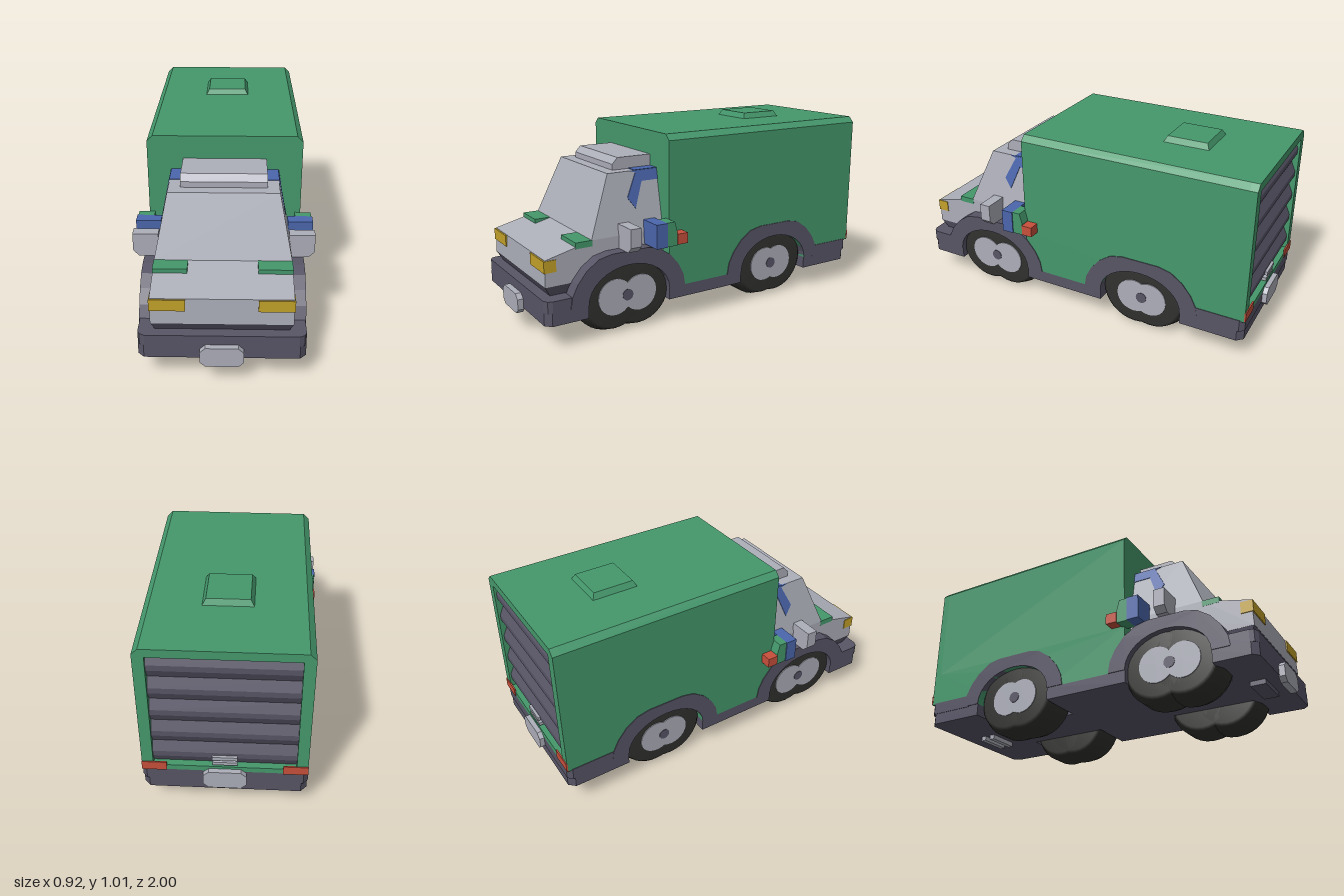
import * as THREE from 'three';

const mat = (name, color) => Object.assign(new THREE.MeshStandardMaterial({ color }), { name });

export function createModel() {
  const root = new THREE.Group();
  root.name = 'deliveryTruck';
  const green = mat('green', 0x45986c), light = mat('lightGrey', 0xacaeb9), dark = mat('darkGrey', 0x585566);
  const black = mat('tyreBlack', 0x31312f), blue = mat('blue', 0x4a66ac), yellow = mat('yellow', 0xc4a22a), red = mat('red', 0xc8503c);

  const add = (name, geo, material) => {
    const m = new THREE.Mesh(geo, material);
    m.name = name;
    root.add(m);
    return m;
  };
  const shape = (pts) => new THREE.Shape(pts.map(([a, b]) => new THREE.Vector2(a, b)));
  const extrude = (s, depth) => new THREE.ExtrudeGeometry(s, { depth, bevelEnabled: false });
  // (z, y) profile across x, (x, y) profile along z, (x, z) plan along y
  const side = (pts, x0, x1) => extrude(shape(pts), x1 - x0).rotateY(-Math.PI / 2).translate(x1, 0, 0);
  const front = (s, z0, z1) => extrude(s, z1 - z0).translate(0, 0, z0);
  const plan = (pts, y0, y1) => extrude(shape(pts), y1 - y0).rotateX(Math.PI / 2).translate(0, y1, 0);
  const box = (x0, x1, y0, y1, z0, z1) => new THREE.BoxGeometry(x1 - x0, y1 - y0, z1 - z0)
    .translate((x0 + x1) / 2, (y0 + y1) / 2, (z0 + z1) / 2);
  // box whose bottom and top rectangles differ: [halfX, zBack, zFront]
  const frustum = (y0, y1, bottom, top) => {
    const g = new THREE.BoxGeometry(1, 1, 1), p = g.attributes.position;
    for (let i = 0; i < p.count; i++) {
      const up = p.getY(i) > 0, r = up ? top : bottom;
      p.setXYZ(i, Math.sign(p.getX(i)) * r[0], up ? y1 : y0, p.getZ(i) > 0 ? r[2] : r[1]);
    }
    g.computeVertexNormals();
    return g;
  };
  const both = (name, material, make) => [1, -1].forEach((s) => add((s > 0 ? 'left' : 'right') + name, make(s), material));
  const span = (s, a, b) => (s > 0 ? [a, b] : [-b, -a]);

  const axles = [{ name: 'Front', z: 0.52, gap: 0.07 }, { name: 'Rear', z: -0.405, gap: 0.045 }];
  const opening = (z) => Array.from({ length: 17 }, (_, i) => {
    const a = (i / 16) * Math.PI;
    return [z - 0.23 * Math.cos(a), 0.19 + 0.17 * Math.sin(a)];
  });

  // Chassis plate with wheel notches, and the two bumpers
  const edge = [[0.4, -0.94], [0.4, -0.635], [0.15, -0.635], [0.15, -0.175], [0.4, -0.175],
    [0.4, 0.29], [0.15, 0.29], [0.15, 0.75], [0.4, 0.75], [0.4, 0.94], [0.37, 0.97]];
  const mirrored = edge.map(([x, z]) => [-x, z]).reverse();
  add('chassis', plan([[0.37, -0.972], ...edge, ...mirrored, [-0.37, -0.972]], 0.125, 0.19), dark);
  add('frontBumper', plan([[0.4, 0.75], [0.4, 0.935], [0.39, 0.957], [0.365, 0.97],
    [-0.365, 0.97], [-0.39, 0.957], [-0.4, 0.935], [-0.4, 0.75]], 0.19, 0.25), dark);
  add('rearBumper', plan([[0.403, -0.7], [0.403, -0.95], [0.38, -0.975],
    [-0.38, -0.975], [-0.403, -0.95], [-0.403, -0.7]], 0.185, 0.25), dark);

  // Cargo box
  const roofLine = (y) => shape([[-0.4, y], [0.4, y], [0.4, 0.955], [0.37, 0.985], [-0.37, 0.985], [-0.4, 0.955]]);
  add('cargoBox', front(roofLine(0.43), -0.935, 0.29), green);
  add('cargoFloor', box(-0.33, 0.33, 0.19, 0.43, -0.93, 0.289), green);
  both('Skirt', green, (s) => side([[0.29, 0.43], [-0.935, 0.43], [-0.935, 0.19], ...opening(-0.405), [0.29, 0.19]],
    ...span(s, 0.33, 0.4)));
  const frame = roofLine(0.245);
  frame.holes.push(shape([[-0.345, 0.28], [-0.345, 0.94], [0.345, 0.94], [0.345, 0.28]]));
  add('rearFrame', front(frame, -0.975, -0.935), green);
  add('roofHatch', frustum(0.985, 1.015, [0.122, -0.635, -0.39], [0.105, -0.62, -0.405]), green);

  // Ribbed rear shutter
  const ribs = [[-0.93, 0.28]];
  for (let i = 0; i < 5; i++) {
    const y = 0.28 + i * 0.132;
    ribs.push([-0.94, y], [-0.964, y + 0.05], [-0.964, y + 0.08]);
  }
  ribs.push([-0.94, 0.94], [-0.93, 0.94]);
  add('rearShutter', side(ribs, -0.345, 0.345), dark);
  add('shutterHandle', box(-0.06, 0.06, 0.325, 0.345, -0.978, -0.95), light);
  add('shutterHandleBase', box(-0.06, 0.06, 0.29, 0.308, -0.974, -0.94), light);
  both('TailLamp', red, (s) => box(...span(s, 0.28, 0.401), 0.25, 0.3, -0.98, -0.972));

  // Cab
  add('hood', side([[0.945, 0.3], [0.94, 0.435], [0.69, 0.495], [0.29, 0.495], [0.29, 0.3]], -0.337, 0.337), light);
  add('lowerGrille', frustum(0.25, 0.3, [0.32, 0.29, 0.915], [0.336, 0.29, 0.944]), dark);
  add('cabin', frustum(0.495, 0.8, [0.337, 0.29, 0.695], [0.275, 0.29, 0.57]), light);
  add('roofDeflector', side([[0.29, 0.8], [0.51, 0.8], [0.51, 0.83], [0.48, 0.862], [0.29, 0.862]], -0.215, 0.215), light);
  both('RoofStripe', blue, (s) => box(...span(s, 0.215, 0.277), 0.797, 0.803, 0.29, 0.42));
  both('SideStripe', blue, (s) => {
    const g = side([[0.45, 0.8], [0.29, 0.8], [0.29, 0.745], [0.385, 0.745], [0.435, 0.615], [0.475, 0.67], [0.415, 0.79]],
      -0.004, 0.004);
    const p = g.attributes.position;
    for (let i = 0; i < p.count; i++) p.setX(i, p.getX(i) + s * (0.337 - (p.getY(i) - 0.495) * 0.203));
    g.computeVertexNormals();
    return g;
  });
  both('HoodVent', green, (s) => box(...span(s, 0.17, 0.338), 0.465, 0.496, 0.69, 0.78));
  both('Headlamp', yellow, (s) => box(...span(s, 0.17, 0.341), 0.372, 0.432, 0.885, 0.948));

  // Side boxes beside the cab
  both('Mirror', light, (s) => front(shape([[0.33, 0.43], [0.43, 0.43], [0.46, 0.46], [0.46, 0.555], [0.33, 0.555]]
    .map(([x, y]) => [s * x, y])), 0.485, 0.545));
  both('BlueSideBox', blue, (s) => box(...span(s, 0.33, 0.46), 0.43, 0.555, 0.335, 0.4));
  both('GreenSideBox', green, (s) => side([[0.335, 0.43], [0.335, 0.555], [0.29, 0.555], [0.275, 0.5], [0.275, 0.43]],
    ...span(s, 0.37, 0.455)));
  both('RedSideLamp', red, (s) => box(...span(s, 0.395, 0.46), 0.435, 0.49, 0.215, 0.275));

  // Wheels and arches
  const tyreProfile = [[0.001, -0.1075], [0.165, -0.1075], [0.18, -0.095], [0.2, -0.047],
    [0.2, 0.047], [0.18, 0.095], [0.165, 0.1075], [0.001, 0.1075]].map(([r, y]) => new THREE.Vector2(r, y));
  const archLine = [[-0.325, 0.19], [-0.315, 0.25], [-0.285, 0.31], [-0.235, 0.37], [-0.17, 0.415], [-0.1, 0.43]];
  const archOuter = [...archLine, ...archLine.map(([z, y]) => [-z, y]).reverse()];
  for (const { name, z, gap } of axles) {
    both(name + 'Arch', dark, (s) => side([...archOuter.map(([a, y]) => [a + z, y]), ...opening(z).reverse()],
      ...span(s, 0.33, 0.404)));
    for (const dz of [gap, -gap]) {
      both(name + 'Tyre', black, (s) => new THREE.LatheGeometry(tyreProfile, 32)
        .rotateZ(-Math.PI / 2).translate(s * 0.2625, 0.2, z + dz));
      both(name + 'Hub', light, (s) => new THREE.CylinderGeometry(0.095, 0.095, 0.008, 24)
        .rotateZ(Math.PI / 2).translate(s * 0.371, 0.192, z + dz));
    }
    both(name + 'HubCap', dark, (s) => new THREE.CylinderGeometry(0.03, 0.03, 0.01, 16)
      .rotateZ(Math.PI / 2).translate(s * 0.373, 0.192, z));
  }

  // End plates and underside steps
  const plate = (y) => shape([[-0.105, y + 0.025], [-0.078, y], [0.078, y], [0.105, y + 0.025],
    [0.105, y + 0.08], [0.078, y + 0.105], [-0.078, y + 0.105], [-0.105, y + 0.08]]);
  add('frontPlate', front(plate(0.095), 0.965, 1), light);
  add('rearPlate', front(plate(0.16), -1, -0.97), light);
  add('frontUnderBar', box(-0.1, 0.1, 0.1, 0.13, 0.82, 0.9), dark);
  for (const z of [-0.78, -0.84]) add('rearUnderBar', box(-0.09, 0.09, 0.1, 0.13, z - 0.015, z + 0.015), light);
  return root;
}
